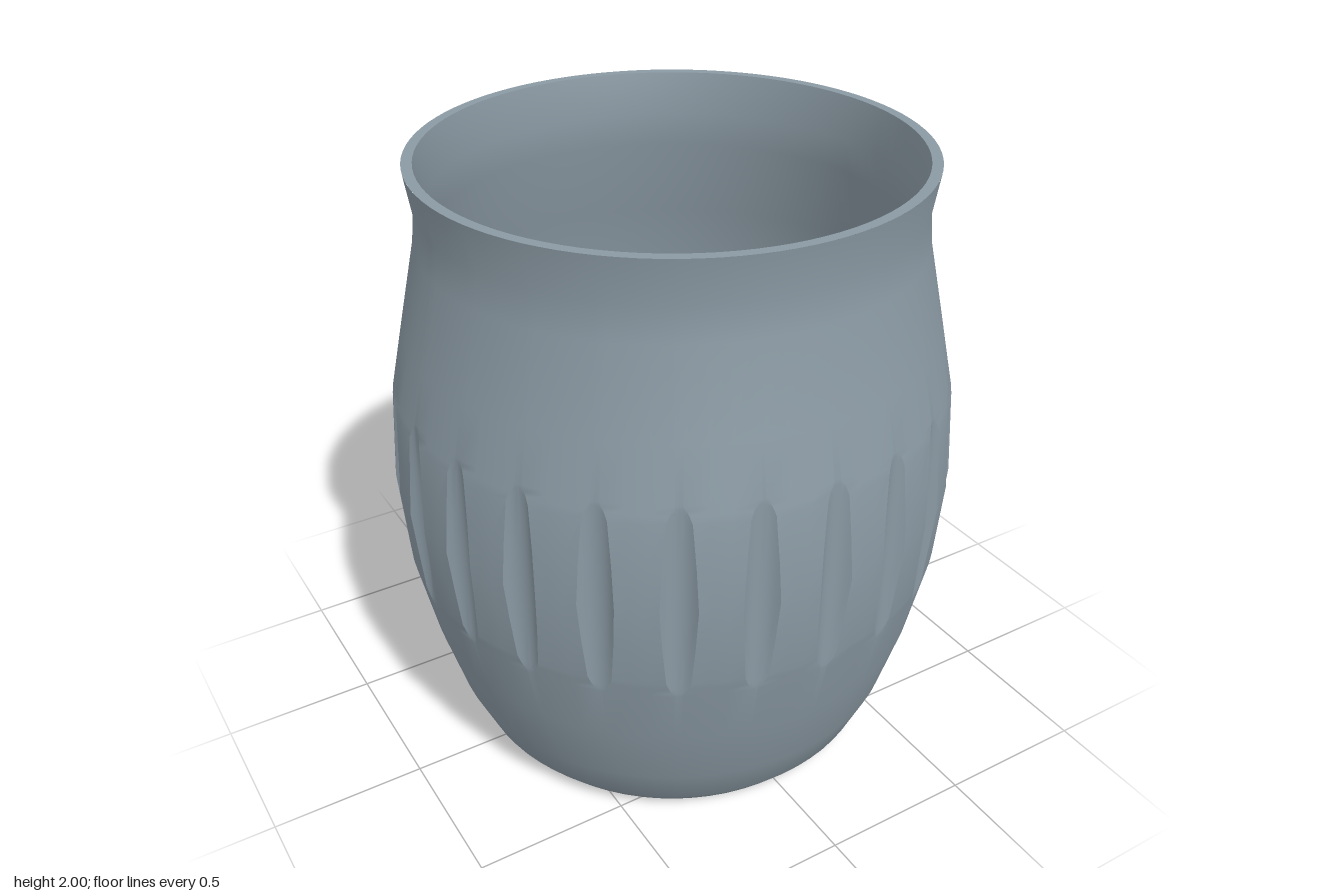
import * as THREE from 'three';
import { toCreasedNormals } from 'three/addons/utils/BufferGeometryUtils.js';

// Outer wall silhouette: [radius, height]
const PROFILE = [
  [0.655, 0], [0.705, 0.06], [0.77, 0.21], [0.835, 0.44], [0.89, 0.705], [0.91, 0.98],
  [0.89, 1.265], [0.843, 1.48], [0.783, 1.75], [0.772, 1.86], [0.793, 2],
];
const FLUTES = 24;
const CUT_CENTRE = 0.943; // distance of each fluting cutter from the axis
const CUT_RADIUS = 0.065;
const WALL = 0.033;

function radiusAt(y) {
  for (let i = 1; i < PROFILE.length; i++) {
    const [r0, y0] = PROFILE[i - 1], [r1, y1] = PROFILE[i];
    if (y <= y1) return r0 + (r1 - r0) * (y - y0) / (y1 - y0);
  }
  return PROFILE[PROFILE.length - 1][0];
}

// Half angle of a flute where the cutter meets a wall of radius R
function fluteHalfAngle(R) {
  const c = (R * R + CUT_CENTRE ** 2 - CUT_RADIUS ** 2) / (2 * R * CUT_CENTRE);
  return Math.max(0.015, Math.acos(Math.min(1, c)));
}

// Wall radius at angle a from a flute's centre line
function flutedRadius(R, a) {
  const s = CUT_CENTRE * Math.sin(a);
  if (Math.abs(s) >= CUT_RADIUS) return R;
  return Math.min(R, CUT_CENTRE * Math.cos(a) - Math.sqrt(CUT_RADIUS ** 2 - s * s));
}

// Outer wall: rings whose columns follow the flute edges
function outerWall() {
  const rows = PROFILE.map(p => p[1])
    .concat([0.645, 0.66, 0.68, 0.84, 1.12, 1.29, 1.305, 1.32])
    .sort((a, b) => a - b);
  const GROOVE = 8, LAND = 3, per = GROOVE + LAND, n = FLUTES * per;
  const pitch = Math.PI * 2 / FLUTES;
  const positions = [], index = [];
  rows.forEach((y, j) => {
    const R = radiusAt(y), h = fluteHalfAngle(R);
    for (let i = 0; i < n; i++) {
      const k = i % per;
      const a = k <= GROOVE
        ? h * (2 * k / GROOVE - 1)
        : h + (pitch - 2 * h) * (k - GROOVE) / LAND;
      const r = k > 0 && k < GROOVE ? flutedRadius(R, a) : R;
      const t = Math.floor(i / per) * pitch + a;
      positions.push(r * Math.sin(t), y, r * Math.cos(t));
      if (j > 0) {
        const i2 = (i + 1) % n, lo = (j - 1) * n, hi = j * n;
        index.push(lo + i, lo + i2, hi + i2, lo + i, hi + i2, hi + i);
      }
    }
  });
  const geo = new THREE.BufferGeometry();
  geo.setAttribute('position', new THREE.Float32BufferAttribute(positions, 3));
  geo.setIndex(index);
  return toCreasedNormals(geo, 0.45);
}

function lathe(points) {
  const pts = points.map(([r, y]) => new THREE.Vector2(r, y));
  return toCreasedNormals(new THREE.LatheGeometry(pts, 96), 0.45);
}

export function createModel() {
  const model = new THREE.Group();
  model.name = 'flutedPot';
  const glaze = new THREE.MeshStandardMaterial({ color: 0x8a99a3 });
  glaze.name = 'blueGrey';

  const add = (name, geometry) => {
    const mesh = new THREE.Mesh(geometry, glaze);
    mesh.name = name;
    model.add(mesh);
  };

  add('flutedOuterWall', outerWall());

  // Rim and inner wall, from the lip down to the floor
  const inner = PROFILE.slice(2).reverse().map(([r, y]) => [r - WALL, y]);
  add('rimAndInnerWall', lathe([[0.793, 2], ...inner, [0.68, 0.095], [0.64, 0.045]]));

  // Floor, drain hole and underside
  add('baseWithDrainHole', lathe([[0.64, 0.045], [0.09, 0.045], [0.09, 0], [0.655, 0]]));

  return model;
}
